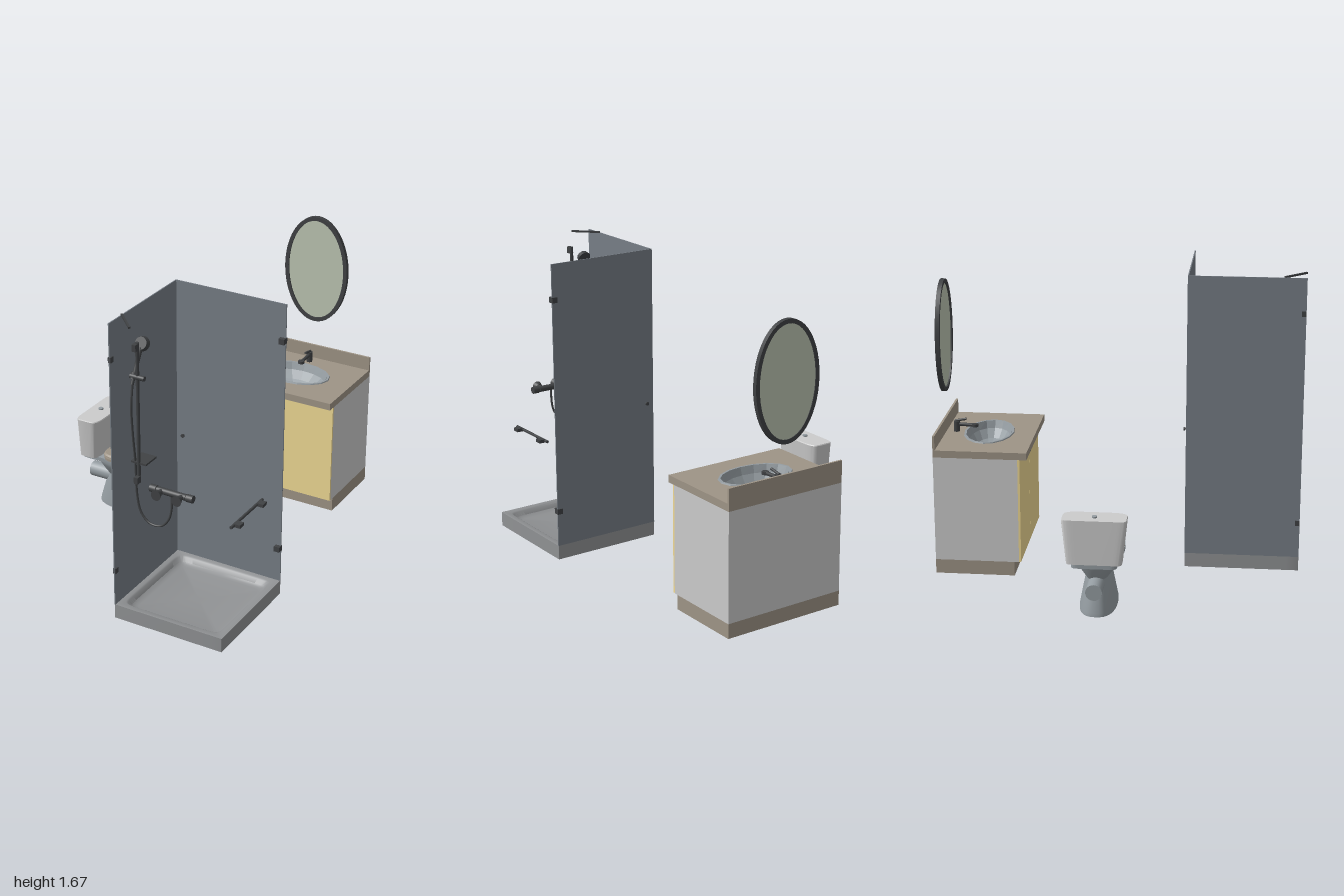
import * as THREE from 'three';
import { toCreasedNormals, mergeVertices } from 'three/addons/utils/BufferGeometryUtils.js';

const paint = (color, extra = {}) => new THREE.MeshStandardMaterial({ color, ...extra });
const M = {
  grey: paint(0xcccccc), ceramic: paint(0x959da2), tray: paint(0x909294), brown: paint(0x9e9486),
  yellow: paint(0xf0da94), metal: paint(0x404244), glass: paint(0x777e86), mirror: paint(0xbcc5b2),
  basin: paint(0x959da2, { flatShading: true }),
};
const V = (x, y, z) => new THREE.Vector3(x, y, z);

function add(parent, name, geometry, material, x = 0, y = 0, z = 0) {
  const mesh = new THREE.Mesh(geometry, material);
  mesh.name = name;
  mesh.position.set(x, y, z);
  parent.add(mesh);
  return mesh;
}

// Box given by its extents on each axis
function box(parent, name, mat, [x0, x1], [y0, y1], [z0, z1]) {
  return add(parent, name, new THREE.BoxGeometry(x1 - x0, y1 - y0, z1 - z0), mat,
    (x0 + x1) / 2, (y0 + y1) / 2, (z0 + z1) / 2);
}

// Cylinder running from a to b
function rod(parent, name, mat, a, b, r, r2 = r, sides = 24) {
  const dir = b.clone().sub(a);
  const mesh = add(parent, name, new THREE.CylinderGeometry(r2, r, dir.length(), sides), mat);
  mesh.position.copy(a).add(b).multiplyScalar(0.5);
  mesh.quaternion.setFromUnitVectors(V(0, 1, 0), dir.normalize());
  return mesh;
}

// Horizontal superellipse; the +x and -x halves may differ in length and squareness
function ring(y, xMin, xMax, cx, cz, hz, pFront = 2, pBack = pFront, n = 48) {
  return Array.from({ length: n }, (_, i) => {
    const t = (i / n) * Math.PI * 2, c = Math.cos(t), s = Math.sin(t);
    const p = 2 / (c > 0 ? pFront : pBack);
    const hx = c > 0 ? xMax - cx : cx - xMin;
    return V(cx + Math.sign(c) * hx * Math.abs(c) ** p, y, cz + Math.sign(s) * hz * Math.abs(s) ** p);
  });
}

// Skin over rings from the underside to the top, capped at both ends
function loft(rings, crease = 0.6) {
  const n = rings[0].length, pos = [], idx = [];
  const mid = r => r.reduce((s, p) => s.add(p), V(0, 0, 0)).divideScalar(n);
  const last = rings.length - 1;
  [...rings.flat(), mid(rings[0]), mid(rings[last])].forEach(p => pos.push(p.x, p.y, p.z));
  const bottom = rings.length * n;
  for (let j = 0; j < n; j++) {
    const k = (j + 1) % n;
    for (let i = 0; i < last; i++) {
      const a = i * n + j, b = i * n + k;
      idx.push(a, a + n, b, b, a + n, b + n);
    }
    idx.push(bottom, j, k, bottom + 1, last * n + k, last * n + j);
  }
  const g = new THREE.BufferGeometry();
  g.setAttribute('position', new THREE.Float32BufferAttribute(pos, 3));
  g.setIndex(idx);
  return toCreasedNormals(mergeVertices(g), crease);
}

function group(parent, name) {
  const g = new THREE.Group();
  g.name = name;
  parent.add(g);
  return g;
}

function buildToilet(root) {
  const g = group(root, 'toilet'), cz = -0.055;
  const egg = (y, x0, x1, hz, pBack = 2.6) => ring(y, x0, x1, -0.43, cz, hz, 2.1, pBack);
  add(g, 'pedestal', loft([
    egg(0, -0.66, -0.26, 0.1), egg(0.02, -0.658, -0.262, 0.099), egg(0.19, -0.61, -0.305, 0.066),
  ]), M.ceramic);
  add(g, 'bowl', loft([
    egg(0.188, -0.61, -0.305, 0.066), egg(0.23, -0.635, -0.27, 0.096), egg(0.27, -0.65, -0.232, 0.125),
    egg(0.295, -0.66, -0.22, 0.136), egg(0.317, -0.66, -0.22, 0.136),
  ]), M.ceramic);
  add(g, 'seat', loft([egg(0.317, -0.59, -0.222, 0.134, 5), egg(0.331, -0.59, -0.222, 0.134, 5)]), M.brown);
  add(g, 'seatGap', loft([egg(0.33, -0.59, -0.23, 0.125, 5), egg(0.336, -0.59, -0.23, 0.125, 5)]), M.metal);
  add(g, 'lid', loft([
    egg(0.335, -0.595, -0.222, 0.132, 5), egg(0.343, -0.595, -0.224, 0.13, 5), egg(0.35, -0.59, -0.235, 0.12, 5),
  ]), M.brown);
  add(g, 'cisternShelf', loft([0.297, 0.32].map(y => ring(y, -0.725, -0.52, -0.6, cz, 0.12, 4, 10))), M.ceramic);
  add(g, 'cistern', loft([[0.318, -0.608, 0.145], [0.555, -0.585, 0.17], [0.56, -0.588, 0.167]]
    .map(([y, x1, hz]) => ring(y, -0.725, x1, -0.66, cz, hz, 4.5, 9))), M.grey);
  rod(g, 'flushButton', M.ceramic, V(-0.665, 0.555, cz), V(-0.665, 0.568, cz), 0.014);
  rod(g, 'outletPipe', M.ceramic, V(-0.725, 0.165, cz), V(-0.56, 0.165, cz), 0.044);
}

function buildVanity(root) {
  const g = group(root, 'vanity'), cx = 0.215, cz = -0.745, X = [-0.14, 0.57];
  // Slab with an oval cut-out for the basin
  const slab = (name, mat, z0, z1, y0, y1) => {
    const s = new THREE.Shape([[X[0], -z1], [X[1], -z1], [X[1], -z0], [X[0], -z0]].map(p => new THREE.Vector2(...p)));
    s.holes.push(new THREE.Path().absellipse(cx, -cz, 0.2, 0.127, 0, Math.PI * 2, true));
    const geo = new THREE.ExtrudeGeometry(s, { depth: y1 - y0, bevelEnabled: false, curveSegments: 16 });
    add(g, name, geo.rotateX(-Math.PI / 2), mat, 0, y0, 0);
  };
  box(g, 'plinth', M.brown, X, [0, 0.08], [-1, -0.56]);
  slab('cabinet', M.grey, -1, -0.535, 0.08, 0.675);
  slab('countertop', M.brown, -1, -0.485, 0.675, 0.715);
  box(g, 'upstand', M.brown, X, [0.715, 0.795], [-1, -0.988]);
  for (const s of [-1, 1]) {
    const xs = [cx + s * 0.001, cx + s * 0.355].sort((a, b) => a - b);
    box(g, 'door', M.yellow, xs, [0.082, 0.673], [-0.535, -0.523]);
    rod(g, 'doorKnob', M.metal, V(cx + s * 0.03, 0.63, -0.525), V(cx + s * 0.03, 0.63, -0.508), 0.01);
  }
  // Faceted oval basin
  const oval = (y, a, b) => ring(y, cx - a, cx + a, cx, cz, b, 2, 2, 16);
  add(g, 'basin', loft([
    oval(0.6, 0.19, 0.118), oval(0.714, 0.195, 0.122), oval(0.714, 0.215, 0.141), oval(0.721, 0.212, 0.138),
    oval(0.721, 0.2, 0.127), oval(0.68, 0.185, 0.113), oval(0.635, 0.135, 0.082), oval(0.612, 0.06, 0.04),
  ], 0.01), M.basin);
  rod(g, 'drain', M.metal, V(cx, 0.61, cz), V(cx, 0.616, cz), 0.02);
  // Tap
  const t = group(g, 'tap');
  rod(t, 'tapBody', M.metal, V(cx, 0.713, -0.93), V(cx, 0.775, -0.93), 0.017);
  rod(t, 'spout', M.metal, V(cx, 0.757, -0.93), V(cx, 0.752, -0.83), 0.01);
  rod(t, 'spoutTip', M.metal, V(cx, 0.744, -0.826), V(cx, 0.76, -0.826), 0.018);
  rod(t, 'lever', M.metal, V(cx, 0.776, -0.94), V(cx, 0.788, -0.875), 0.007);
}

function buildMirror(root) {
  const g = group(root, 'mirror');
  const oval = (a, b, depth, hole) => {
    const s = new THREE.Shape().absellipse(0, 0, a, b, 0, Math.PI * 2);
    if (hole) s.holes.push(new THREE.Path().absellipse(0, 0, a - 0.023, b - 0.023, 0, Math.PI * 2, true));
    return toCreasedNormals(new THREE.ExtrudeGeometry(s, { depth, bevelEnabled: false, curveSegments: 24 }), 0.6);
  };
  add(g, 'mirrorFrame', oval(0.196, 0.318, 0.024, true), M.metal, 0.215, 1.27, -1);
  add(g, 'mirrorGlass', oval(0.174, 0.296, 0.012), M.mirror, 0.215, 1.27, -0.996);
}

function buildShower(root) {
  const g = group(root, 'shower'), cx = 0.405, cz = 0.6825;
  // Tray with a recessed floor and a hollow underside
  const sq = (y, h, p) => ring(y, cx - h, cx + h, cx, cz, h, p, p, 64);
  add(g, 'tray', loft([
    sq(0.025, 0.265, 300), sq(0, 0.27, 300), sq(0, 0.317, 300), sq(0.08, 0.317, 300),
    sq(0.08, 0.287, 14), sq(0.074, 0.278, 14), sq(0.052, 0.265, 14), sq(0.045, 0.25, 14), sq(0.041, 0.235, 20),
  ]), M.tray);
  // Glass screens, clamps, door knob and corner brace
  box(g, 'sideScreen', M.glass, [0.088, 0.094], [0.08, 1.665], [0.365, 1]);
  box(g, 'backScreen', M.glass, [0.088, 0.722], [0.08, 1.665], [0.365, 0.371]);
  for (const y of [0.28, 1.47]) {
    box(g, 'screenHinge', M.metal, [0.692, 0.724], [y - 0.015, y + 0.015], [0.36, 0.394]);
    box(g, 'screenClamp', M.metal, [0.083, 0.1], [y - 0.015, y + 0.015], [0.975, 1]);
  }
  rod(g, 'doorKnobStem', M.metal, V(0.135, 0.795, 0.35), V(0.135, 0.795, 0.388), 0.005);
  for (const z of [0.35, 0.38]) rod(g, 'doorKnob', M.metal, V(0.135, 0.795, z), V(0.135, 0.795, z + 0.007), 0.01);
  add(g, 'cornerBrace', new THREE.BoxGeometry(0.165, 0.01, 0.01), M.metal, 0.15, 1.668, 0.94).rotation.y = -Math.PI / 4;

  // Riser rail with wall brackets, slider and soap shelf
  const r = group(g, 'riserRail');
  rod(r, 'rail', M.metal, V(0.23, 0.83, 0.967), V(0.23, 1.585, 0.967), 0.009);
  for (const y of [0.845, 1.565]) box(r, 'railBracket', M.metal, [0.219, 0.241], [y - 0.018, y + 0.018], [0.967, 1]);
  rod(r, 'slider', M.metal, V(0.19, 1.4, 0.967), V(0.27, 1.4, 0.967), 0.013);
  rod(r, 'handsetHolder', M.metal, V(0.205, 1.385, 0.968), V(0.205, 1.415, 0.953), 0.017);
  box(r, 'soapShelf', M.metal, [0.187, 0.274], [0.927, 0.937], [0.872, 0.972]);

  // Handset and hose
  const h = group(g, 'handset');
  rod(h, 'handle', M.metal, V(0.205, 1.36, 0.978), V(0.205, 1.525, 0.895), 0.009, 0.012);
  rod(h, 'sprayHead', M.metal, V(0.205, 1.546, 0.894), V(0.205, 1.535, 0.872), 0.032, 0.038);
  const hose = new THREE.CatmullRomCurve3([
    [0.205, 1.37, 0.973], [0.205, 1.25, 0.989], [0.205, 1.1, 0.98], [0.205, 0.93, 0.96], [0.205, 0.73, 0.947],
    [0.223, 0.645, 0.945], [0.262, 0.598, 0.945], [0.303, 0.587, 0.945], [0.347, 0.598, 0.945],
    [0.386, 0.645, 0.945], [0.402, 0.71, 0.943], [0.403, 0.785, 0.942],
  ].map(p => V(...p)));
  add(h, 'hose', new THREE.TubeGeometry(hose, 100, 0.006, 8), M.metal);

  // Mixer valve
  const m = group(g, 'mixer'), y = 0.795, z = 0.94;
  rod(m, 'mixerBody', M.metal, V(0.32, y, z), V(0.485, y, z), 0.017);
  for (const [a, b] of [[0.28, 0.316], [0.489, 0.525]]) rod(m, 'mixerKnob', M.metal, V(a, y, z), V(b, y, z), 0.02);
  rod(m, 'mixerSpindle', M.metal, V(0.3, y, z), V(0.5, y, z), 0.013);
  for (const x of [0.345, 0.462]) {
    rod(m, 'mixerElbow', M.metal, V(x, y, z), V(x, y, 0.99), 0.014);
    rod(m, 'wallRose', M.metal, V(x, y, 0.972), V(x, y, 1), 0.018, 0.028);
  }

  // Grab bar
  const b = group(g, 'grabBar');
  rod(b, 'bar', M.metal, V(0.685, 0.635, 0.518), V(0.685, 0.635, 0.848), 0.008);
  for (const c of [0.56, 0.8]) box(b, 'barMount', M.metal, [0.685, 0.722], [0.626, 0.644], [c - 0.02, c + 0.02]);
}

export function createModel() {
  const root = new THREE.Group();
  root.name = 'bathroomSet';
  buildToilet(root);
  buildVanity(root);
  buildMirror(root);
  buildShower(root);
  return root;
}
